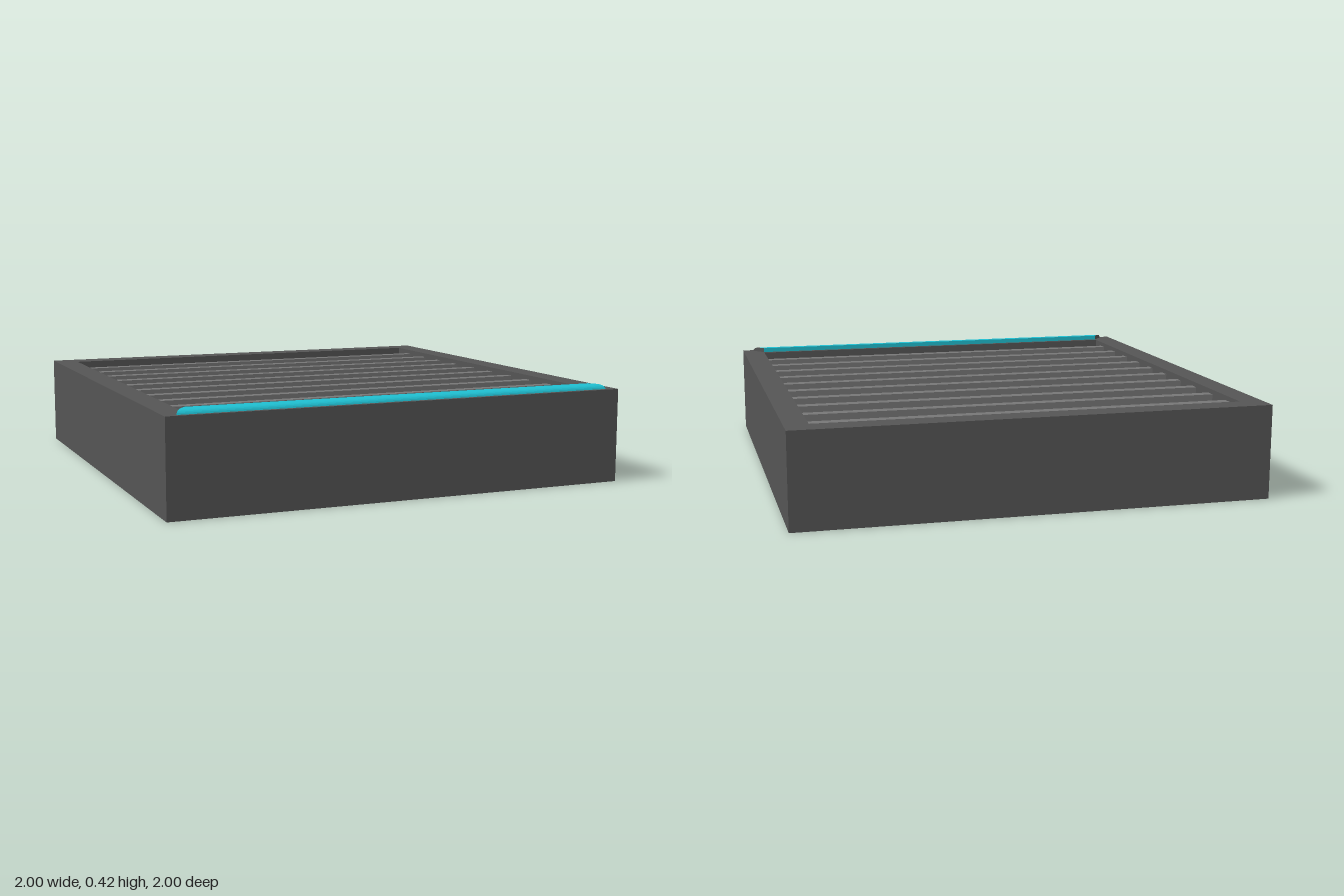
import * as THREE from 'three';

const paint = (color) => new THREE.MeshStandardMaterial({ color });

export function createModel() {
  const model = new THREE.Group();
  const dark = paint(0x555555), slatGrey = paint(0x777777), black = paint(0x0d0d0d), cyan = paint(0x1fc0d2);

  const add = (name, geometry, material, parent = model) => {
    const mesh = new THREE.Mesh(geometry, material);
    mesh.name = name;
    parent.add(mesh);
    return mesh;
  };
  const square = (Type, r) => new Type([[-r, -r], [r, -r], [r, r], [-r, r]].map(([x, y]) => new THREE.Vector2(x, y)));

  // Square housing, open through the middle
  const outline = square(THREE.Shape, 1);
  outline.holes.push(square(THREE.Path, 0.9));
  const housing = new THREE.ExtrudeGeometry(outline, { depth: 0.4, bevelEnabled: false });
  housing.rotateX(-Math.PI / 2);
  add('housing', housing, dark);

  // Black plate recessed in the underside
  add('backPlate', new THREE.BoxGeometry(1.8, 0.05, 1.8), black).position.y = 0.075;

  // Row of slats just below the rim
  const slats = new THREE.Group();
  slats.name = 'slats';
  model.add(slats);
  const slat = new THREE.BoxGeometry(1.8, 0.06, 0.045);
  for (let i = 0; i < 10; i++) {
    add('slat', slat, slatGrey, slats).position.set(0, 0.35, -0.78 + i * 0.175);
  }

  // Coloured strip on the front rim: rounded profile (z, y) run along x
  const profile = new THREE.Shape();
  profile.moveTo(0.92, 0.4);
  profile.lineTo(0.98, 0.4);
  profile.quadraticCurveTo(0.975, 0.42, 0.945, 0.42);
  profile.lineTo(0.92, 0.42);
  profile.closePath();
  const strip = new THREE.ExtrudeGeometry(profile, { depth: 1, curveSegments: 6, bevelEnabled: false });
  strip.rotateY(-Math.PI / 2);
  // Mitre the ends so the strip widens towards the front
  const p = strip.attributes.position;
  for (let i = 0; i < p.count; i++) {
    const half = 0.9 + (p.getZ(i) - 0.92) * 0.83;
    p.setX(i, p.getX(i) < -0.5 ? -half : half);
  }
  strip.computeVertexNormals();
  add('frontStrip', strip, [dark, cyan]);

  return model;
}
